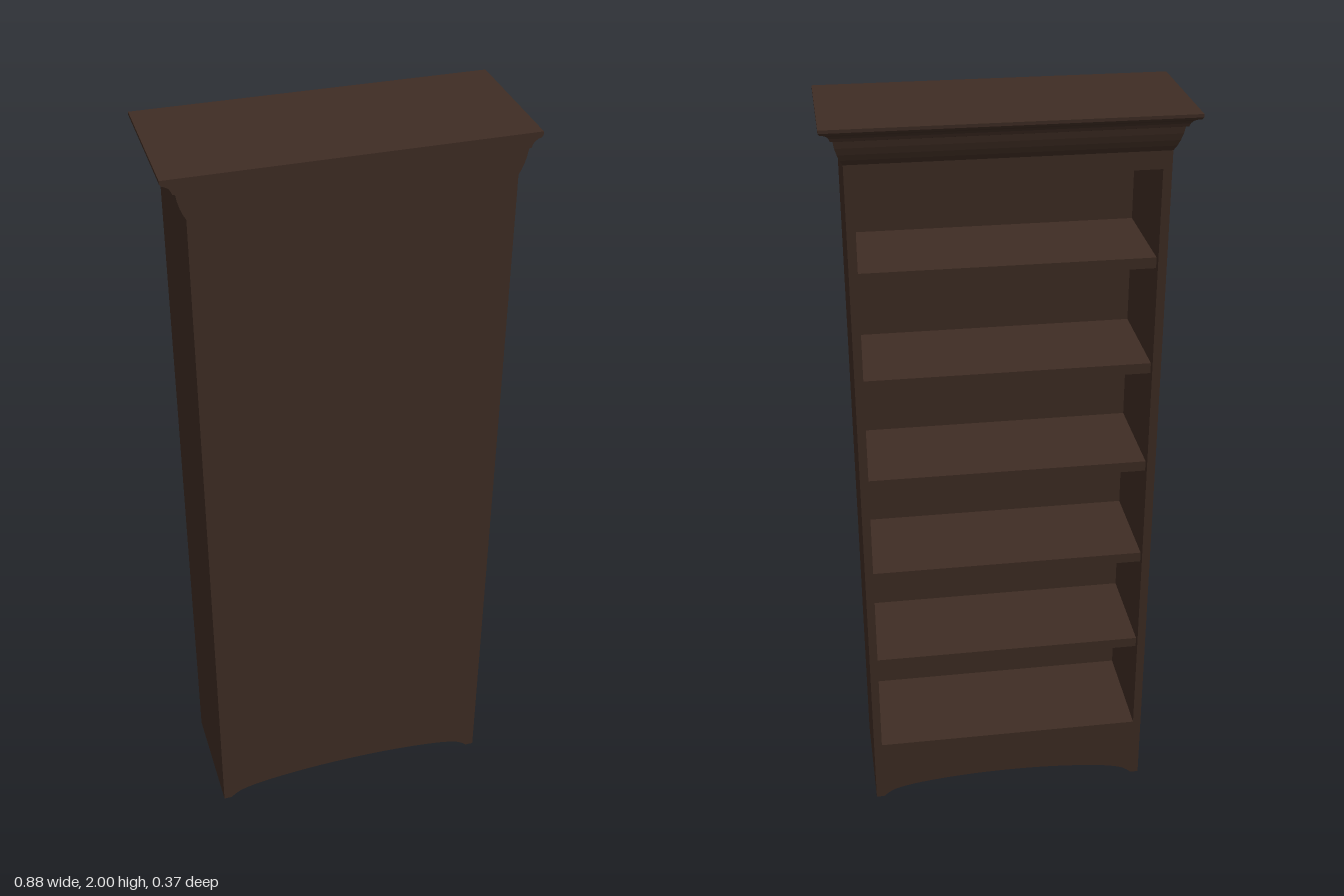
import * as THREE from 'three';

export function createModel() {
  const model = new THREE.Group();
  model.name = 'bookcase';
  const wood = new THREE.MeshStandardMaterial({ color: 0x3f2d24 });
  wood.name = 'dark walnut';

  // main sizes: the open side faces -z, the plain panel is at +z
  const W = 0.388, T = 0.022, IN = W - T;
  const OPEN = -0.131, BACK = 0.185, BODY_TOP = 1.9;

  function add(name, geometry) {
    const mesh = new THREE.Mesh(geometry, wood);
    mesh.name = name;
    model.add(mesh);
    return mesh;
  }
  function board(name, x0, x1, y0, y1, z0, z1) {
    const g = new THREE.BoxGeometry(x1 - x0, y1 - y0, z1 - z0);
    g.translate((x0 + x1) / 2, (y0 + y1) / 2, (z0 + z1) / 2);
    return add(name, g);
  }

  // side walls
  board('leftSide', IN, W, 0, BODY_TOP, OPEN, BACK);
  board('rightSide', -W, -IN, 0, BODY_TOP, OPEN, BACK);

  // panels with an arched lower edge
  const half = [[0.366, 0], [0.352, 0.012], [0.33, 0.024], [0.28, 0.036], [0.2, 0.046], [0.1, 0.053]];
  const arch = [
    ...half.map(([x, y]) => new THREE.Vector2(-x, y)),
    new THREE.Vector2(0, 0.055),
    ...half.slice().reverse().map(([x, y]) => new THREE.Vector2(x, y)),
  ];
  const archCurve = new THREE.SplineCurve(arch).getPoints(36);
  function archedPanel(name, top, z0, depth) {
    const shape = new THREE.Shape([
      ...archCurve, new THREE.Vector2(IN, top), new THREE.Vector2(-IN, top),
    ]);
    const g = new THREE.ExtrudeGeometry(shape, { depth, bevelEnabled: false });
    g.translate(0, 0, z0);
    add(name, g);
  }
  archedPanel('backPanel', BODY_TOP, BACK - 0.02, 0.02);
  archedPanel('plinth', 0.19, OPEN, 0.02);

  // bottom board, shelves and top board
  board('bottomBoard', -IN, IN, 0.16, 0.19, OPEN + 0.02, BACK - 0.02);
  for (let i = 1; i <= 5; i++) {
    const y = 0.19 + i * 0.287;
    board('shelf' + i, -IN, IN, y - 0.028, y, OPEN + 0.018, BACK - 0.02);
  }
  board('topBoard', -IN, IN, 1.855, BODY_TOP, OPEN, BACK - 0.02);

  // cornice: [overhang, height], stepping out on three sides and flush at +z
  const profile = [
    [0, 1.9], [0.007, 1.913], [0.013, 1.928], [0.018, 1.945], [0.021, 1.962], [0.027, 1.964],
    [0.03, 1.972], [0.035, 1.979], [0.043, 1.984], [0.05, 1.986], [0.054, 1.992], [0.054, 2],
  ];
  const rings = profile.map(([o, y]) => [
    [-W - o, y, BACK], [W + o, y, BACK], [W + o, y, OPEN - o], [-W - o, y, OPEN - o],
  ]);
  const pos = [];
  const quad = (a, b, c, d) => pos.push(...a, ...b, ...c, ...a, ...c, ...d);
  for (let i = 0; i < rings.length - 1; i++) {
    for (let k = 0; k < 4; k++) {
      const n = (k + 1) % 4;
      quad(rings[i][k], rings[i][n], rings[i + 1][n], rings[i + 1][k]);
    }
  }
  quad(...rings[rings.length - 1]);
  const cornice = new THREE.BufferGeometry();
  cornice.setAttribute('position', new THREE.Float32BufferAttribute(pos, 3));
  cornice.computeVertexNormals();
  add('cornice', cornice);

  return model;
}
